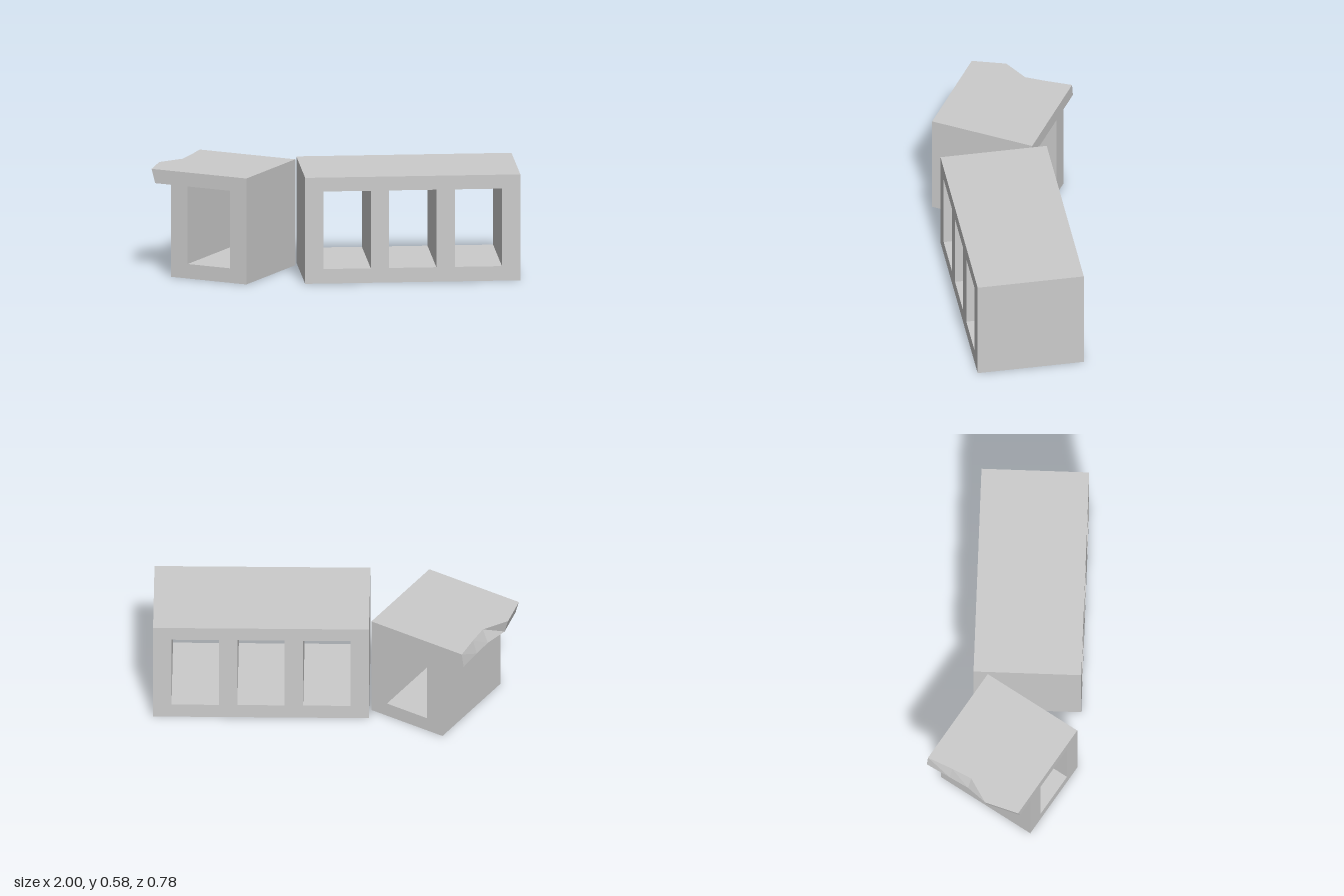
import * as THREE from 'three';

const H = 0.585, D = 0.583;          // block height and depth
const WEB = 0.1, CELL = 0.256;       // wall thickness and cell width
const Y0 = 0.08, Y1 = 0.508;         // floor and ceiling of the cells

const material = new THREE.MeshStandardMaterial({ color: 0xcccccc, flatShading: true });

function rect(path, x0, y0, x1, y1) {
  path.moveTo(x0, y0);
  path.lineTo(x1, y0);
  path.lineTo(x1, y1);
  path.lineTo(x0, y1);
  path.closePath();
  return path;
}

// Hollow block with its front right-hand edge at the origin, running to -x and -z
function hollowBlock(name, cells) {
  const length = cells * (CELL + WEB) + WEB;
  const shape = rect(new THREE.Shape(), -length, 0, 0, H);
  for (let i = 0; i < cells; i++) {
    const x = -WEB - i * (CELL + WEB);
    shape.holes.push(rect(new THREE.Path(), x - CELL, Y0, x, Y1));
  }
  const geometry = new THREE.ExtrudeGeometry(shape, { depth: D, bevelEnabled: false });
  geometry.translate(0, 0, -D);
  const mesh = new THREE.Mesh(geometry, material);
  mesh.name = name;
  return mesh;
}

// Jagged remains of the top slab, lofted through sections from front to back
function brokenLip(innerX) {
  // z, outer x at the top, outer x at the bottom
  const sections = [
    [0, -0.575, -0.553],
    [-0.183, -0.622, -0.6],
    [-0.322, -0.549, -0.58],
    [-0.439, -0.56, -0.585],
    [-D, -0.58, -0.592],
  ];
  const positions = [], index = [];
  for (const [z, top, bottom] of sections) {
    positions.push(innerX, H, z, top, H, z, bottom, Y1, z, innerX, Y1, z);
  }
  const last = (sections.length - 1) * 4;
  for (let s = 0; s < last; s += 4) {
    for (let k = 0; k < 3; k++) {
      const a = s + k, b = a + 1, c = a + 4, d = a + 5;
      index.push(a, c, b, b, c, d);
    }
  }
  index.push(0, 1, 2, 0, 2, 3);
  index.push(last, last + 2, last + 1, last, last + 3, last + 2);
  const geometry = new THREE.BufferGeometry();
  geometry.setAttribute('position', new THREE.Float32BufferAttribute(positions, 3));
  geometry.setIndex(index);
  geometry.computeVertexNormals();
  const mesh = new THREE.Mesh(geometry, material);
  mesh.name = 'brokenLip';
  return mesh;
}

export function createModel() {
  const model = new THREE.Group();
  model.name = 'cinderBlocks';

  // Whole block with three cells
  const whole = hollowBlock('wholeBlock', 3);
  whole.position.set(0.998, 0, 0.226);
  whole.rotation.y = 0.115;
  model.add(whole);

  // Broken block with one cell left and a stub of the next one
  const broken = new THREE.Group();
  broken.name = 'brokenBlock';
  broken.add(hollowBlock('brokenBlockBody', 1), brokenLip(-(CELL + 2 * WEB)));
  broken.position.set(-0.48, 0, 0.387);
  broken.rotation.y = -0.439;
  model.add(broken);

  return model;
}
